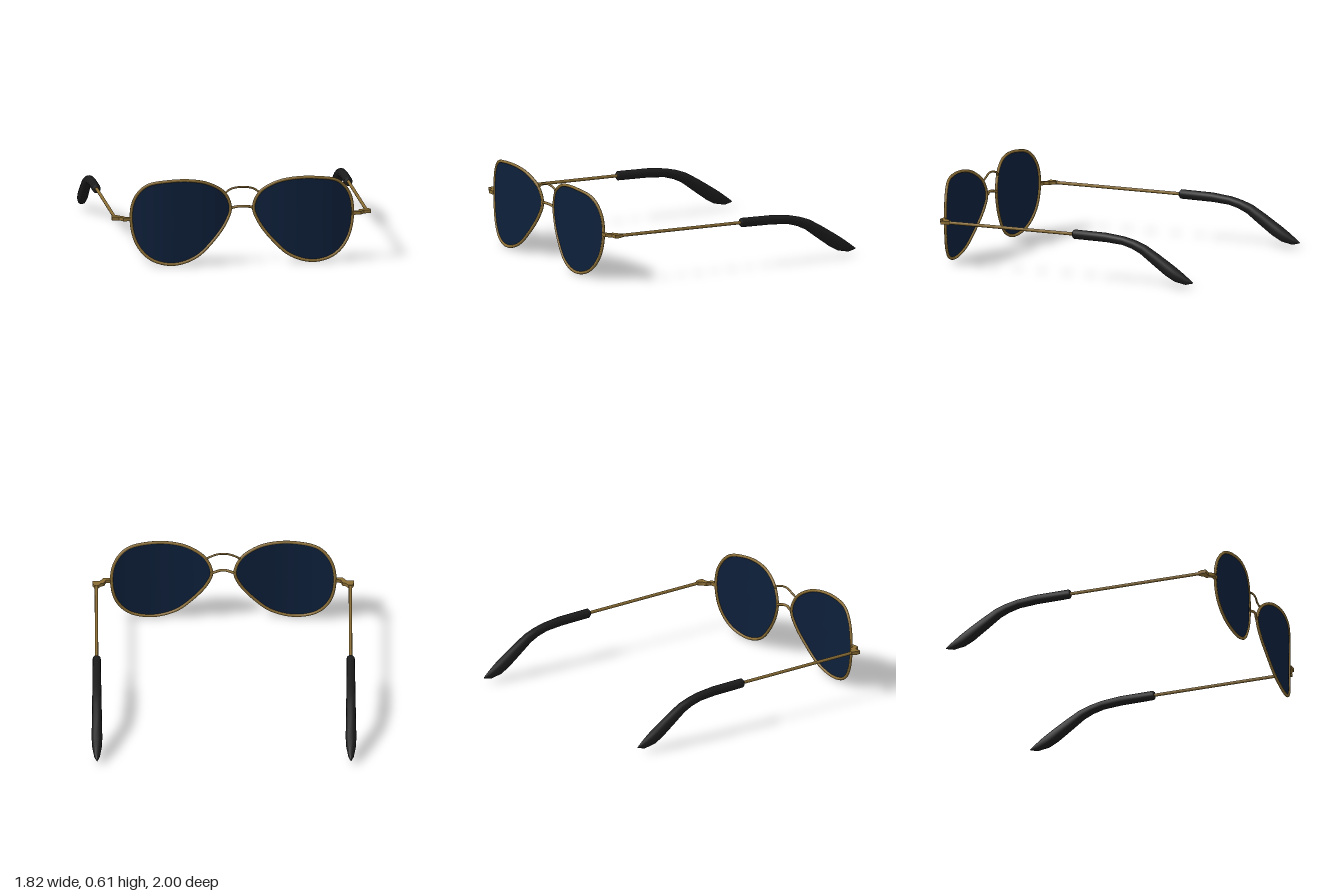
import * as THREE from 'three';

const gold = new THREE.MeshStandardMaterial({ color: 0x8a6d35 });
const black = new THREE.MeshStandardMaterial({ color: 0x1c1c1c });
const tint = new THREE.MeshStandardMaterial({ color: 0x0d1f3a, side: THREE.DoubleSide });

// Rim centre line of the left lens (x, y)
const OUTLINE = [
  [0.51, 0.603], [0.35, 0.602], [0.23, 0.573], [0.123, 0.502], [0.08, 0.395],
  [0.114, 0.295], [0.21, 0.167], [0.33, 0.062], [0.49, 0.017], [0.64, 0.056],
  [0.733, 0.163], [0.77, 0.337], [0.745, 0.478], [0.665, 0.57],
];
// Temple tip sections: z, y, half height, half width
const TIP = [
  [-0.09, 0.325, 0.024, 0.022], [-0.1, 0.325, 0.033, 0.029], [-0.34, 0.32, 0.033, 0.03],
  [-0.47, 0.307, 0.031, 0.031], [-0.55, 0.286, 0.033, 0.032], [-0.62, 0.257, 0.037, 0.033],
  [-0.71, 0.198, 0.043, 0.035], [-0.82, 0.124, 0.047, 0.037], [-0.88, 0.088, 0.044, 0.033],
  [-0.95, 0.058, 0.027, 0.02], [-0.995, 0.05, 0.005, 0.004],
];
// Plan outline of the hinge end piece (x, z)
const HINGE = [
  [0.765, 0.925], [0.77, 0.945], [0.825, 0.945], [0.85, 0.907], [0.9, 0.907], [0.9, 0.875],
  [0.888, 0.845], [0.862, 0.845], [0.845, 0.87], [0.82, 0.88], [0.81, 0.915],
];

// Forward curve of the front: depends only on distance from the middle
function frontZ(x) {
  const d = Math.abs(x) - 0.44;
  return 0.988 - (d > 0 ? 0.545 : 0.4) * d * d;
}

function add(parent, name, geometry, material) {
  const mesh = new THREE.Mesh(geometry, material);
  mesh.name = name;
  parent.add(mesh);
  return mesh;
}

function tube(points, radius, segments, closed = false) {
  const curve = new THREE.CatmullRomCurve3(points, closed);
  return new THREE.TubeGeometry(curve, segments, radius, 8, closed);
}

// Skin a list of equal-sized rings
function loft(rings) {
  const n = rings[0].length;
  const index = [];
  for (let i = 0; i < rings.length - 1; i++) {
    for (let j = 0; j < n; j++) {
      const a = i * n + j, b = i * n + (j + 1) % n;
      index.push(a, a + n, b, b, a + n, b + n);
    }
  }
  const g = new THREE.BufferGeometry().setFromPoints(rings.flat());
  g.setIndex(index);
  g.computeVertexNormals();
  return g;
}

function lensGeometry(rim, s) {
  const edge = rim.slice(0, -1);
  const rings = [];
  for (let k = 0; k <= 8; k++) {
    const t = Math.max(1 - k / 8, 0.001);
    rings.push(edge.map((p) => {
      const x = s * 0.44 + (p.x - s * 0.44) * t;
      return new THREE.Vector3(x, 0.33 + (p.y - 0.33) * t, frontZ(x));
    }));
  }
  return loft(rings);
}

function tipGeometry(x) {
  const sides = 12;
  const rings = TIP.map(([z, y, h, w], i) => {
    const a = TIP[Math.max(i - 1, 0)], b = TIP[Math.min(i + 1, TIP.length - 1)];
    const slope = Math.atan2(b[1] - a[1], a[0] - b[0]);
    return Array.from({ length: sides }, (_, j) => {
      const t = (j / sides) * Math.PI * 2, up = h * Math.sin(t);
      return new THREE.Vector3(x + w * Math.cos(t), y + up * Math.cos(slope), z + up * Math.sin(slope));
    });
  });
  // close both ends with a collapsed ring
  const cap = ([z, y]) => Array.from({ length: sides }, () => new THREE.Vector3(x, y, z));
  return loft([cap(TIP[0]), ...rings, cap([-1, 0.049])]);
}

function buildSide(s) {
  const side = new THREE.Group();
  side.name = s > 0 ? 'leftSide' : 'rightSide';

  // Rim and lens
  const rimPoints = OUTLINE.map(([x, y]) => new THREE.Vector3(s * x, y, 0));
  const rim = new THREE.CatmullRomCurve3(rimPoints, true).getPoints(72);
  rim.forEach((p) => { p.z = frontZ(p.x); });
  add(side, 'rim', tube(rim.slice(0, -1), 0.0105, 108, true), gold);
  add(side, 'lens', lensGeometry(rim, s), tint);

  // Hinge end piece
  const plan = new THREE.Shape(HINGE.map(([x, z]) => new THREE.Vector2(s * x, z)));
  const hinge = new THREE.ExtrudeGeometry(plan, { depth: 0.024, bevelEnabled: false });
  hinge.rotateX(Math.PI / 2).translate(0, 0.346, 0);
  add(side, 'hinge', hinge, gold);

  // Temple arm and its covered tip
  const arm = [[0.334, 0.865], [0.33, 0.4], [0.325, -0.12]];
  add(side, 'templeArm', tube(arm.map(([y, z]) => new THREE.Vector3(s * 0.875, y, z)), 0.0115, 8), gold);
  add(side, 'templeTip', tipGeometry(s * 0.875), black);
  return side;
}

export function createModel() {
  const group = new THREE.Group();
  group.name = 'sunglasses';
  group.add(buildSide(1), buildSide(-1));

  // Two bridge wires between the rims, given as half curves
  const bridge = (half) => [
    ...half.map(([x, y, z]) => new THREE.Vector3(-x, y, z)),
    ...half.slice(0, -1).reverse().map(([x, y, z]) => new THREE.Vector3(x, y, z)),
  ];
  const upper = [[0.118, 0.5, 0.944], [0.085, 0.524, 0.935], [0.045, 0.537, 0.94], [0, 0.541, 0.943]];
  const lower = [[0.078, 0.392, 0.934], [0.05, 0.4, 0.938], [0.025, 0.405, 0.945], [0, 0.406, 0.948]];
  add(group, 'upperBridge', tube(bridge(upper), 0.007, 32), gold);
  add(group, 'lowerBridge', tube(bridge(lower), 0.0095, 32), gold);
  return group;
}
